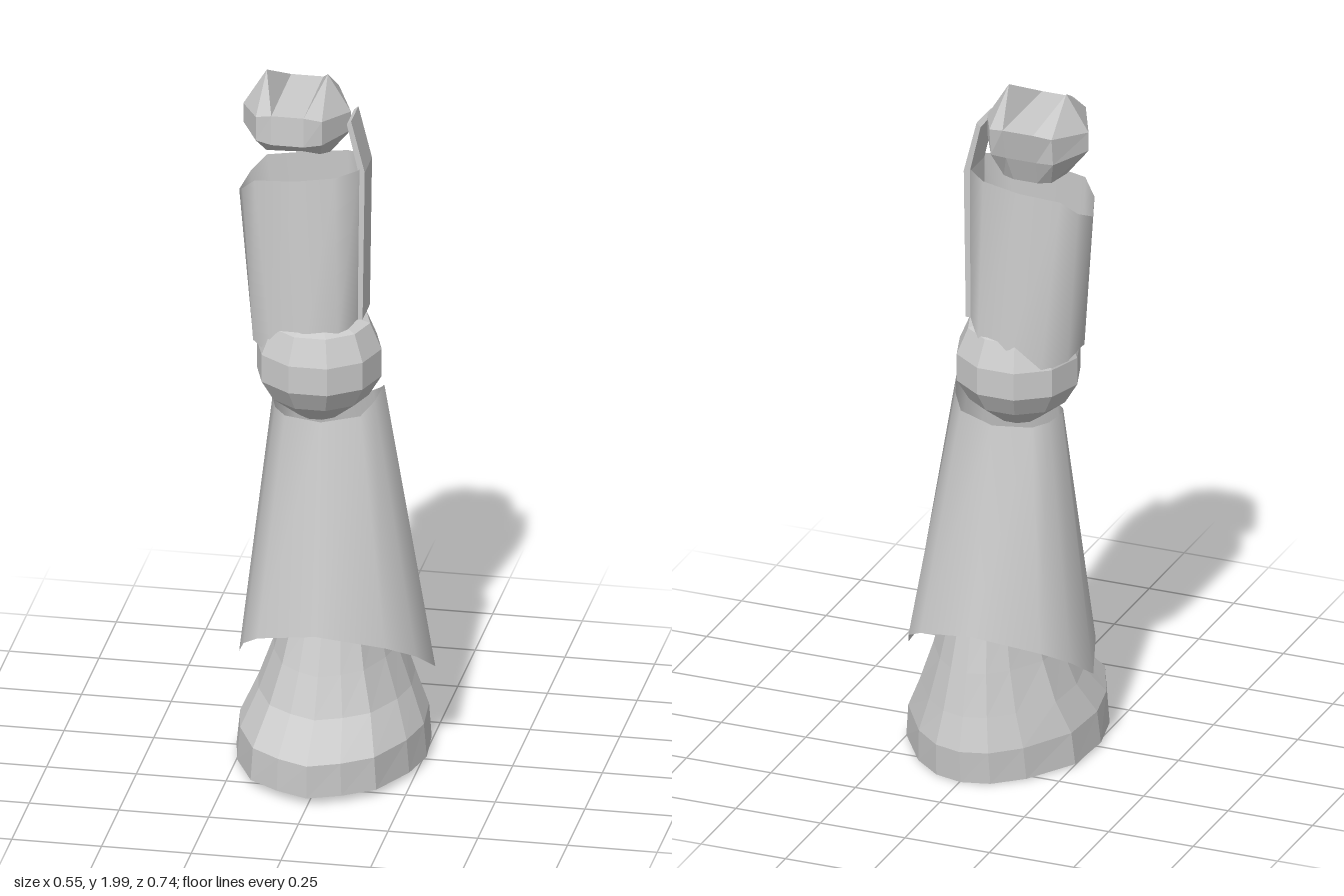
import * as THREE from 'three';

const makeMaterial = (flat) => new THREE.MeshStandardMaterial({
  color: 0xcccccc, flatShading: flat, side: THREE.DoubleSide,
});

// Skin a stack of closed rings (bottom to top, each counter-clockwise seen from above).
function loft(rings, capBottom = false) {
  const n = rings[0].length;
  const pos = rings.flat(2);
  const index = [];
  for (let r = 0; r < rings.length - 1; r++) {
    for (let i = 0; i < n; i++) {
      const a = r * n + i, b = r * n + (i + 1) % n;
      index.push(a, b, b + n, a, b + n, a + n);
    }
  }
  if (capBottom) for (let i = 1; i < n - 1; i++) index.push(0, i + 1, i);
  const g = new THREE.BufferGeometry();
  g.setAttribute('position', new THREE.Float32BufferAttribute(pos, 3));
  g.setIndex(index);
  g.computeVertexNormals();
  return g;
}

// Complete a ring from its +x half, listed from front to back.
function mirrorX(half, cx) {
  const right = half.map(([x, y, z]) => [cx + x, y, z]);
  const left = half.filter((p) => p[0] > 0).reverse().map(([x, y, z]) => [cx - x, y, z]);
  return [...right, ...left];
}

// Complete a ring from its front half, listed from -x to +x as [x, y, depth].
function mirrorZ(half, cz) {
  const front = half.map(([x, y, d]) => [x, y, cz + d]);
  const back = half.filter((p) => p[2] > 0).reverse().map(([x, y, d]) => [x, y, cz - d]);
  return [...front, ...back];
}

function createFoot() {
  const outline = [[0, 0.37], [0.09, 0.33], [0.175, 0.267], [0.24, 0.125], [0.265, 0],
    [0.25, -0.15], [0.16, -0.285], [0.08, -0.35], [0, -0.37]];
  // y at toe, y at heel, half width, front z, back z
  const levels = [
    [0.03, 0.01, 0.265, 0.37, -0.358],
    [0.125, 0.105, 0.256, 0.37, -0.368],
    [0.215, 0.2, 0.213, 0.258, -0.342],
    [0.32, 0.32, 0.172, 0.205, -0.315],
    [0.43, 0.43, 0.142, 0.155, -0.288],
    [0.5, 0.5, 0.125, 0.13, -0.27],
  ];
  const rings = levels.map(([yToe, yHeel, w, front, back]) => mirrorX(
    outline.map(([x, z]) => {
      const t = (z + 0.37) / 0.74;
      return [x * w / 0.265, yHeel + (yToe - yHeel) * t, back + (front - back) * t];
    }), -0.003));
  return loft(rings);
}

function createShin() {
  // x, y, depth from the centre line
  const hem = [[-0.275, 0.26, 0], [-0.245, 0.325, 0.09], [-0.19, 0.38, 0.175], [-0.015, 0.43, 0.247],
    [0.165, 0.38, 0.175], [0.235, 0.325, 0.09], [0.272, 0.26, 0]];
  const collar = [[-0.182, 1.03, 0], [-0.165, 1.02, 0.05], [-0.13, 1.015, 0.09], [-0.025, 1.015, 0.118],
    [0.08, 1.03, 0.09], [0.112, 1.06, 0.05], [0.13, 1.09, 0]];
  return loft([mirrorZ(hem, -0.066), mirrorZ(collar, -0.066)]);
}

function createKnee() {
  const profile = [[0.06, 1.0], [0.138, 1.06], [0.174, 1.12], [0.174, 1.2], [0.142, 1.275], [0.11, 1.285], [0.1, 1.23]]
    .map(([r, y]) => new THREE.Vector2(r, y));
  profile.unshift(new THREE.Vector2(0, 1.0));
  const g = new THREE.LatheGeometry(profile, 10, Math.PI / 10);
  return g.translate(-0.05, 0, -0.057);
}

function createThigh() {
  const bottom = [[-0.24, 1.24, 0], [-0.225, 1.22, 0.06], [-0.165, 1.195, 0.108], [-0.07, 1.22, 0.134],
    [0.02, 1.26, 0.11], [0.062, 1.3, 0.06], [0.075, 1.3, 0]];
  const top = [[-0.275, 1.64, 0], [-0.255, 1.67, 0.06], [-0.215, 1.71, 0.09], [-0.1, 1.722, 0.105],
    [0.01, 1.738, 0.098], [0.068, 1.748, 0.055], [0.078, 1.75, 0]];
  return loft([mirrorZ(bottom, -0.068), mirrorZ(top, -0.068)]);
}

// Plate on the outer thigh, bending inwards above the rim
function createStrap() {
  const s = new THREE.Shape([[0.062, 1.3], [0.078, 1.3], [0.084, 1.74], [0.046, 1.89], [0.034, 1.88], [0.066, 1.74]]
    .map(([x, y]) => new THREE.Vector2(x, y)));
  return new THREE.ExtrudeGeometry(s, { depth: 0.105, bevelEnabled: false }).translate(0, 0, -0.125);
}

// Faceted bowl with a flat strip on top between two peaks
function createHip() {
  const cx = -0.115;
  const rim = [[0.045, 1.925, 0.065], [0.092, 1.91, 0.045], [0.15, 1.895, -0.075],
    [0.092, 1.915, -0.2], [0.045, 1.928, -0.22]];
  const band = [[0.045, 1.84, 0.068], [0.092, 1.84, 0.045], [0.15, 1.84, -0.075],
    [0.092, 1.835, -0.19], [0.045, 1.835, -0.195]];
  const base = [[0.04, 1.8, 0.005], [0.075, 1.785, -0.02], [0.09, 1.765, -0.085],
    [0.07, 1.76, -0.15], [0.035, 1.76, -0.165]];
  const body = loft([base, band, rim].map((h) => mirrorX(h, cx)), true);
  const pos = [];
  const tri = (...pts) => pts.forEach(([x, y, z]) => pos.push(cx + x, y, z));
  const flip = ([x, y, z]) => [-x, y, z];
  const peak = [0.085, 2, -0.077];
  rim.forEach((p, i) => {
    const q = rim[(i + 1) % rim.length];
    tri(p, q, peak);
    tri(flip(q), flip(p), flip(peak));
  });
  const [f, b] = [rim[0], rim[4]];
  tri(flip(f), f, b);
  tri(flip(f), b, flip(b));
  const crown = new THREE.BufferGeometry();
  crown.setAttribute('position', new THREE.Float32BufferAttribute(pos, 3));
  crown.computeVertexNormals();
  return [body, crown];
}

export function createModel() {
  const model = new THREE.Group();
  model.name = 'armouredLeg';
  const add = (name, geometry, flat = true) => {
    const mesh = new THREE.Mesh(geometry, makeMaterial(flat));
    mesh.name = name;
    model.add(mesh);
  };
  add('foot', createFoot());
  add('shinGuard', createShin(), false);
  add('kneeJoint', createKnee());
  add('thighGuard', createThigh(), false);
  add('thighStrap', createStrap());
  const [body, crown] = createHip();
  add('hipJoint', body);
  add('hipPeaks', crown);
  return model;
}
